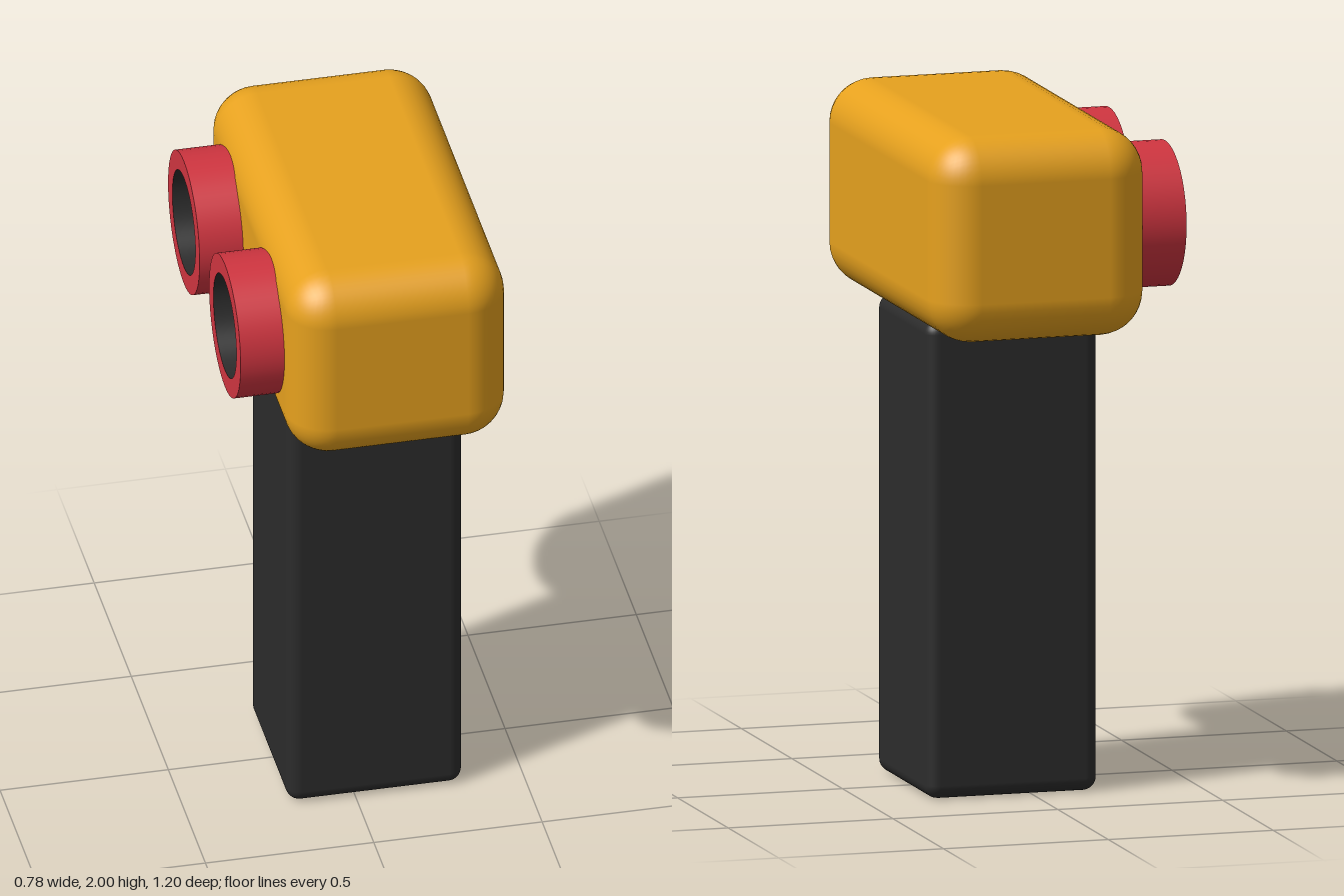
import * as THREE from 'three';
import { RoundedBoxGeometry } from 'three/addons/geometries/RoundedBoxGeometry.js';

const paint = (color) => new THREE.MeshStandardMaterial({ color });

function add(parent, name, geometry, material, x = 0, y = 0, z = 0) {
  const mesh = new THREE.Mesh(geometry, material);
  mesh.name = name;
  mesh.position.set(x, y, z);
  parent.add(mesh);
  return mesh;
}

export function createModel() {
  const model = new THREE.Group();
  model.name = 'twinEyedPost';
  const yellow = paint(0xe6a11e), red = paint(0xd03540), dark = paint(0x2c2c2c);
  const bore = paint(0x2c2c2c);
  bore.side = THREE.BackSide;

  // Upright post and the rounded block on top of it
  add(model, 'post', new RoundedBoxGeometry(0.52, 1.41, 0.515, 4, 0.04), dark, 0.06, 0.705, 0);
  add(model, 'head', new RoundedBoxGeometry(0.65, 0.61, 1.2, 5, 0.13), yellow, 0.065, 1.695, 0);

  // Two red eye rings on the right side, each with a dark recessed lens
  const outer = 0.213, inner = 0.155, depth = 0.17, recess = 0.115;
  [['front', 0.263], ['back', -0.29]].forEach(([place, z]) => {
    const eye = new THREE.Group();
    eye.name = place + 'Eye';
    eye.position.set(-0.39, 1.703, z);
    eye.rotation.z = Math.PI / 2; // local +y points outwards, to -x
    model.add(eye);
    add(eye, 'ringWall', new THREE.CylinderGeometry(outer, outer, depth, 48, 1, true), red, 0, -depth / 2);
    add(eye, 'ringFace', new THREE.RingGeometry(inner, outer, 48).rotateX(-Math.PI / 2), red);
    add(eye, 'bore', new THREE.CylinderGeometry(inner, inner, recess, 48, 1, true), bore, 0, -recess / 2);
    add(eye, 'lens', new THREE.CircleGeometry(inner, 48).rotateX(-Math.PI / 2), dark, 0, -recess);
  });
  return model;
}
